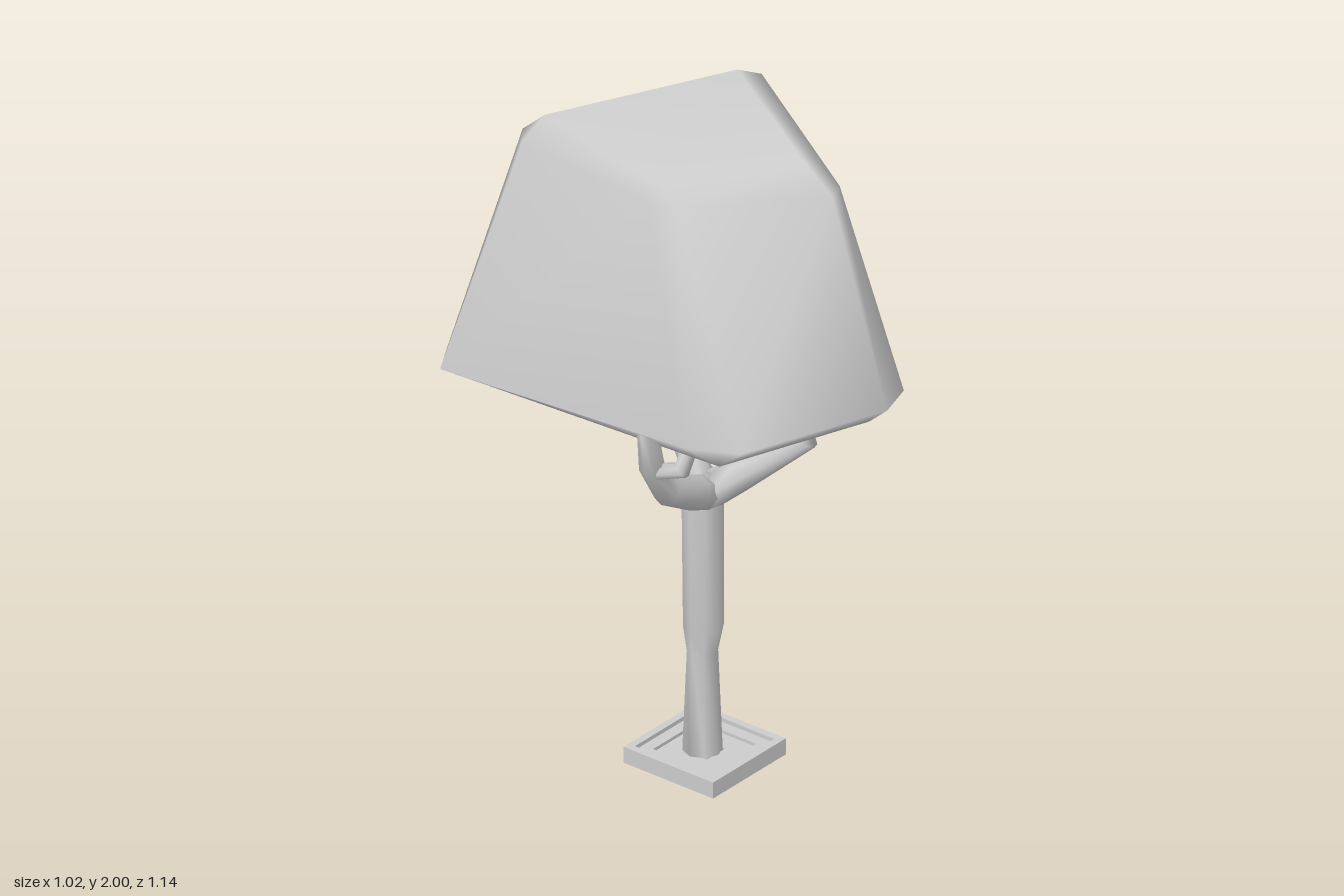
import * as THREE from 'three';
import { mergeVertices } from 'three/addons/utils/BufferGeometryUtils.js';

const SIDES = 8;
const material = new THREE.MeshStandardMaterial({ color: 0xcccccc });

function part(name, geometry) {
  const mesh = new THREE.Mesh(geometry, material);
  mesh.name = name;
  return mesh;
}

// Indexed geometry with welded corners and smooth normals
function smoothGeometry(positions, index) {
  let g = new THREE.BufferGeometry();
  g.setAttribute('position', new THREE.Float32BufferAttribute(positions, 3));
  g.setIndex(index);
  g = mergeVertices(g, 1e-4);
  g.computeVertexNormals();
  return g;
}

// Smooth limb swept through stations [x, y, z, radius], capped at both ends
function limb(name, stations) {
  const points = stations.map(([x, y, z]) => new THREE.Vector3(x, y, z));
  const zAxis = new THREE.Vector3(0, 0, 1);
  const positions = [];
  const index = [];
  points.forEach((p, i) => {
    const next = points[Math.min(i + 1, points.length - 1)];
    const prev = points[Math.max(i - 1, 0)];
    const t = next.clone().sub(prev).normalize();
    const u = new THREE.Vector3().crossVectors(zAxis, t).normalize();
    const v = new THREE.Vector3().crossVectors(t, u);
    for (let k = 0; k < SIDES; k++) {
      const a = (k / SIDES) * Math.PI * 2;
      const q = p.clone()
        .addScaledVector(u, Math.cos(a) * stations[i][3])
        .addScaledVector(v, Math.sin(a) * stations[i][3]);
      positions.push(q.x, q.y, q.z);
      if (i < points.length - 1) {
        const b = i * SIDES + k;
        const c = i * SIDES + (k + 1) % SIDES;
        index.push(b, c, b + SIDES, c, c + SIDES, b + SIDES);
      }
    }
  });
  const last = (points.length - 1) * SIDES;
  for (let k = 1; k < SIDES - 1; k++) {
    index.push(0, k + 1, k, last, last + k, last + k + 1);
  }
  return part(name, smoothGeometry(positions, index));
}

// Flat square frame with a square hole
function squareFrame(name, outer, inner, y, height) {
  const square = (Type, h) => new Type([[-h, -h], [h, -h], [h, h], [-h, h]]
    .map(([x, z]) => new THREE.Vector2(x, z)));
  const shape = square(THREE.Shape, outer);
  shape.holes.push(square(THREE.Path, inner));
  const g = new THREE.ExtrudeGeometry(shape, { depth: height, bevelEnabled: false });
  g.rotateX(-Math.PI / 2);
  g.translate(-0.034, y, 0.018);
  return part(name, g);
}

// Foliage block: chamfered four-cornered rings, with one sunken top corner
function foliage() {
  // Spreads four corners over the eight places of a chamfered ring
  const spread = ([a, b, c, d]) => [a, b, b, c, c, d, d, a];
  const rings = [
    // underside
    spread([[-0.38, 1.15, -0.46], [0.37, 1.15, -0.11], [0.12, 1.15, 0.47], [-0.33, 1.15, 0.31]]),
    // widest outline
    [[-0.42, 1.24, -0.575], [0.455, 1.24, -0.21], [0.51, 1.24, -0.085], [0.19, 1.24, 0.535],
      [0.075, 1.24, 0.57], [-0.36, 1.24, 0.415], [-0.435, 1.24, 0.275], [-0.515, 1.24, -0.52]],
    // shoulders
    [[-0.3, 1.94, -0.405], [0.3, 1.94, -0.16], [0.345, 1.94, -0.09], [0.19, 1.8, 0.31],
      [0.12, 1.81, 0.34], [-0.175, 1.79, 0.03], [-0.22, 1.81, -0.03], [-0.36, 1.94, -0.36]],
    // sloping top
    spread([[-0.285, 2, -0.34], [0.24, 2, -0.09], [0.13, 1.87, 0.24], [-0.17, 1.84, -0.03]]),
  ];
  const index = [0, 1, 3, 0, 3, 5, 24, 29, 25, 25, 29, 27];
  for (let r = 0; r < 3; r++) {
    for (let i = 0; i < 8; i++) {
      const b = r * 8 + i;
      const c = r * 8 + (i + 1) % 8;
      index.push(b, b + 8, c, c, b + 8, c + 8);
    }
  }
  return part('foliage', smoothGeometry(rings.flat(2), index));
}

export function createModel() {
  const tree = new THREE.Group();
  tree.name = 'tree';

  // Tree grate
  const grate = new THREE.Group();
  grate.name = 'treeGrate';
  grate.add(
    squareFrame('outerRim', 0.157, 0.135, 0, 0.05),
    squareFrame('middleFrame', 0.135, 0.1, 0.018, 0.02),
    squareFrame('innerPlate', 0.1, 0.04, 0.012, 0.016),
  );

  tree.add(
    grate,
    foliage(),
    limb('trunk', [
      [-0.034, 0.015, 0.01, 0.056], [-0.024, 0.33, 0.002, 0.043], [-0.036, 0.42, 0.015, 0.056],
      [-0.04, 0.8, 0.016, 0.058], [-0.042, 0.9, 0.005, 0.045],
    ]),
    limb('rightBranch', [
      [-0.03, 0.83, 0.02, 0.05], [-0.115, 0.88, 0.045, 0.052], [-0.25, 0.945, 0.06, 0.038],
      [-0.345, 1.075, 0.085, 0.036], [-0.385, 1.22, 0.1, 0.028],
    ]),
    limb('rightTwig', [
      [-0.345, 1.06, 0.085, 0.024], [-0.32, 1.085, 0.17, 0.026], [-0.285, 1.18, 0.185, 0.022],
    ]),
    limb('frontBranch', [
      [-0.035, 0.84, 0.025, 0.055], [0.015, 0.895, 0.095, 0.05],
      [0.125, 1.01, 0.245, 0.034], [0.1, 1.18, 0.21, 0.027],
    ]),
    limb('backBranch', [
      [-0.045, 0.84, 0.01, 0.048], [-0.025, 0.92, -0.03, 0.042], [0.07, 1.19, -0.26, 0.032],
    ]),
  );
  return tree;
}
